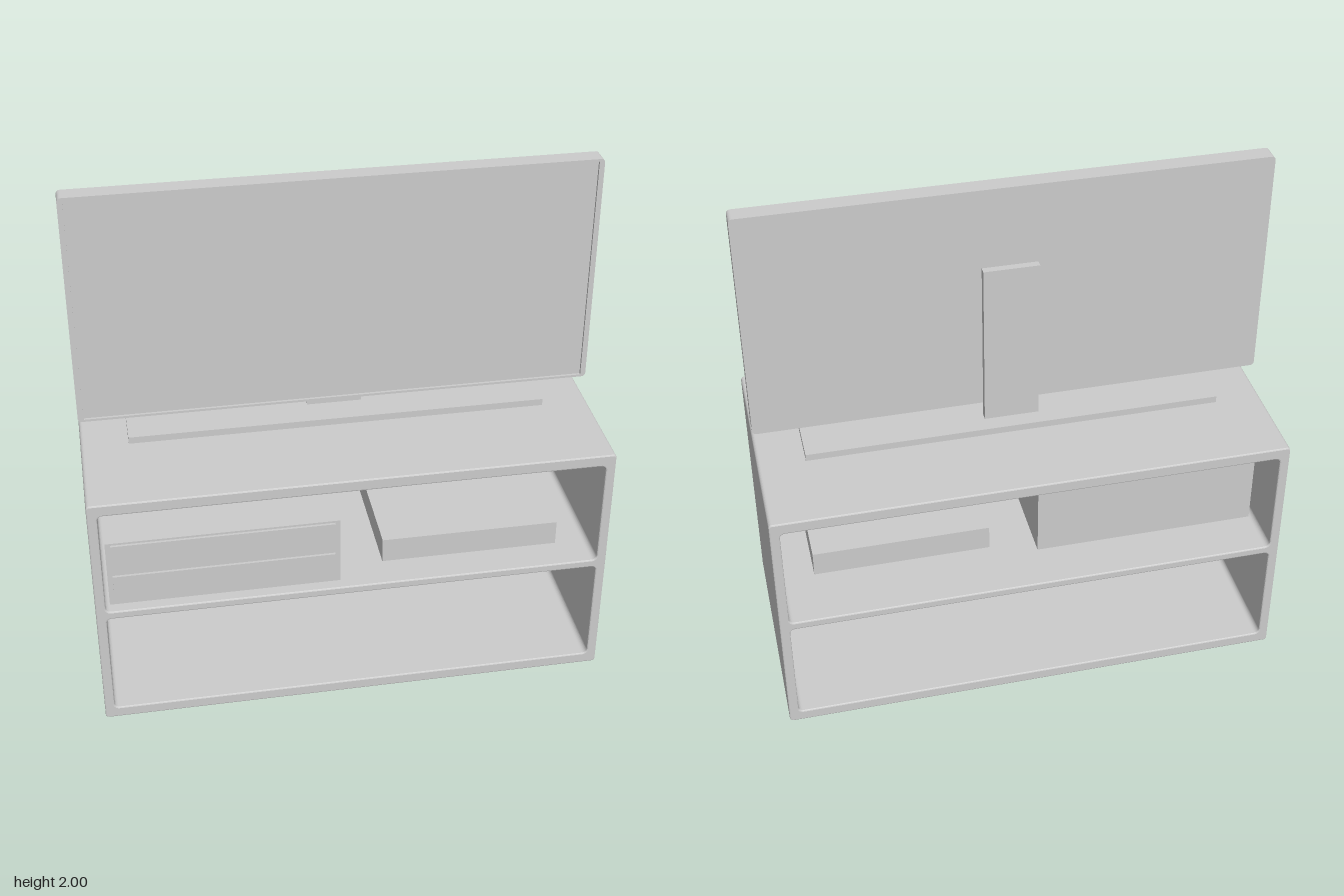
import * as THREE from 'three';

const material = new THREE.MeshStandardMaterial({ color: 0xcccccc });

function add(group, name, geometry) {
  const mesh = new THREE.Mesh(geometry, material);
  mesh.name = name;
  group.add(mesh);
  return mesh;
}

// Box given by its limits along each axis
function block(group, name, [x0, x1], [y0, y1], [z0, z1]) {
  const mesh = add(group, name, new THREE.BoxGeometry(x1 - x0, y1 - y0, z1 - z0));
  mesh.position.set((x0 + x1) / 2, (y0 + y1) / 2, (z0 + z1) / 2);
}

// Rounded rectangle outline, for shapes and holes
function roundedRect(Type, x0, x1, y0, y1, r) {
  const p = new Type();
  p.absarc(x1 - r, y0 + r, r, -Math.PI / 2, 0);
  p.absarc(x1 - r, y1 - r, r, 0, Math.PI / 2);
  p.absarc(x0 + r, y1 - r, r, Math.PI / 2, Math.PI);
  p.absarc(x0 + r, y0 + r, r, Math.PI, Math.PI * 1.5);
  p.closePath();
  return p;
}

// Extrude from z0 to z1 with a small edge bevel that stays inside the outline
function slab(group, name, shape, z0, z1, bevel) {
  const geometry = new THREE.ExtrudeGeometry(shape, {
    depth: z1 - z0 - 2 * bevel,
    bevelEnabled: bevel > 0,
    bevelSize: bevel,
    bevelThickness: bevel,
    bevelOffset: -bevel,
    bevelSegments: 2,
    curveSegments: 5,
  });
  geometry.translate(0, 0, z0 + bevel);
  add(group, name, geometry);
}

export function createModel() {
  const model = new THREE.Group();
  model.name = 'televisionOnStand';

  // Cabinet: one shell with two compartments open at front and back
  const cabinet = new THREE.Group();
  cabinet.name = 'cabinet';
  const shell = roundedRect(THREE.Shape, -0.98, 0.98, 0, 1, 0.014);
  for (const [y0, y1] of [[0.045, 0.483], [0.515, 0.953]]) {
    shell.holes.push(roundedRect(THREE.Path, -0.943, 0.943, y0, y1, 0.02));
  }
  slab(cabinet, 'cabinetShell', shell, -0.466, 0.466, 0.005);
  model.add(cabinet);

  // Drawer unit on the shelf
  const drawers = new THREE.Group();
  drawers.name = 'drawerUnit';
  block(drawers, 'drawerBody', [-0.925, -0.054], [0.51, 0.795], [-0.275, 0.42]);
  for (const [y0, y1] of [[0.53, 0.648], [0.665, 0.787]]) {
    block(drawers, 'drawerFront', [-0.906, -0.073], [y0, y1], [0.41, 0.43]);
  }
  model.add(drawers);

  // Flat player box on the shelf
  block(model, 'playerBox', [0.126, 0.815], [0.51, 0.615], [-0.217, 0.333]);

  // Television: bezel frame around a recessed screen, closed at the back
  const tv = new THREE.Group();
  tv.name = 'television';
  const bezel = roundedRect(THREE.Shape, -0.98, 0.98, 1.085, 2, 0.015);
  bezel.holes.push(roundedRect(THREE.Path, -0.96, 0.96, 1.094, 1.991, 0.004));
  slab(tv, 'bezel', bezel, -0.034, 0.036, 0);
  block(tv, 'screenPanel', [-0.961, 0.961], [1.093, 1.992], [-0.034, 0.026]);

  // Foot and rear support
  block(tv, 'supportPost', [-0.105, 0.105], [1.02, 1.683], [-0.062, -0.033]);
  block(tv, 'footPlate', [-0.8, 0.8], [0.998, 1.027], [-0.127, 0.083]);
  model.add(tv);

  return model;
}
